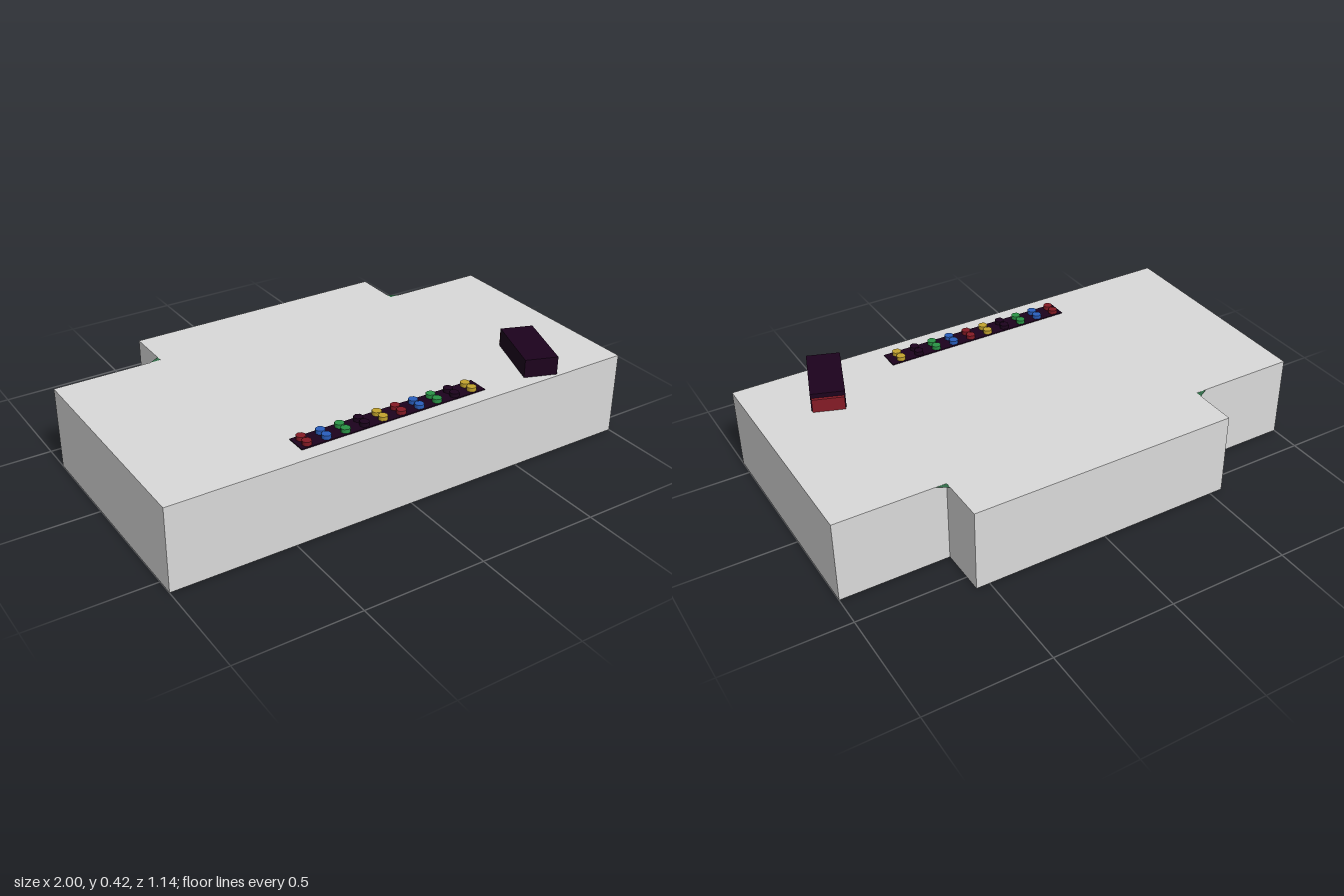
import * as THREE from 'three';

const material = (name, color, side = THREE.FrontSide) => {
  const m = new THREE.MeshStandardMaterial({ color, side });
  m.name = name;
  return m;
};

export function createModel() {
  const model = new THREE.Group();
  model.name = 'counter';
  const grey = material('pale grey', 0xdadada);
  const plum = material('dark plum', 0x1c021d);
  const red = material('red', 0x861b26);
  const blue = material('blue', 0x2a5fbe);
  const green = material('green', 0x2a9446);
  const yellow = material('yellow', 0xc4a42e);
  const brown = material('dark brown', 0x5e3a1a, THREE.DoubleSide);
  const leaf = material('dull green', 0x326c48, THREE.DoubleSide);

  const add = (name, geometry, mat, x = 0, y = 0, z = 0, parent = model) => {
    const mesh = new THREE.Mesh(geometry, mat);
    mesh.name = name;
    mesh.position.set(x, y, z);
    parent.add(mesh);
    return mesh;
  };
  // Horizontal outline from [x, z] points
  const outline = (points) => new THREE.Shape(points.map(([x, z]) => new THREE.Vector2(x, -z)));
  const sheet = (points) => new THREE.ShapeGeometry(outline(points)).rotateX(-Math.PI / 2);

  // Main block with its stepped back
  const TOP = 0.344;
  add('body', new THREE.ExtrudeGeometry(outline([
    [-1, 0.572], [1, 0.572], [1, -0.372], [0.555, -0.372],
    [0.555, -0.572], [-0.555, -0.572], [-0.555, -0.372], [-1, -0.372],
  ]), { depth: TOP - 0.0006, bevelEnabled: false }).rotateX(-Math.PI / 2), grey, 0, 0.0006, 0);

  // Exposed part of the floor underneath, breaking up into strips
  add('floorPatch', sheet([
    [0.49, 0.48], [0.21, 0.47], [0.02, 0.15], [0.25, 0.03], [0.39, 0.04], [0.47, 0.09],
  ]), brown);
  for (let k = 0; k < 4; k++) {
    const x = 0.49 - 0.006 * k, z = -0.14 + 0.057 * k, n = 12 + 5 * k;
    const dx = -0.0046 * n, dz = -0.0039 * n;
    add('floorStrip', sheet([
      [x, z], [x + dx, z + dz], [x + dx - 0.012, z + dz + 0.014], [x - 0.012, z + 0.014],
    ]), brown);
  }

  // Small flat triangles in the inner corners of the step
  for (const s of [-1, 1]) {
    add(s > 0 ? 'leftCornerTriangle' : 'rightCornerTriangle', sheet([
      [s * 0.555, -0.372], [s * 0.6, -0.372], [s * 0.555, -0.399],
    ]), leaf, 0, TOP - 0.0006, 0);
  }

  // Strip with two rows of coloured buttons
  const panel = new THREE.Group();
  panel.name = 'buttonPanel';
  panel.position.set(-0.035, TOP, 0.468);
  model.add(panel);
  add('panelStrip', new THREE.BoxGeometry(0.81, 0.004, 0.084), plum, 0.002, 0.002, 0, panel);
  const button = new THREE.CylinderGeometry(0.019, 0.019, 0.017, 8);
  const colours = [red, blue, green, plum, yellow];
  for (let i = 0; i < 10; i++) {
    for (const z of [-0.02, 0.02]) {
      add('button', button, colours[i % 5], (i - 4.5) * 0.081 - 0.005, 0.0115, z, panel);
    }
  }

  // Turned box with a red end plate
  const scanner = new THREE.Group();
  scanner.name = 'scanner';
  scanner.position.set(0.672, TOP, 0.405);
  scanner.rotation.y = -0.35;
  model.add(scanner);
  add('scannerBox', new THREE.BoxGeometry(0.134, 0.075, 0.283), plum, 0, 0.0375, 0, scanner);
  add('scannerEnd', new THREE.BoxGeometry(0.126, 0.056, 0.014), red, 0, 0.028, -0.147, scanner);

  return model;
}
